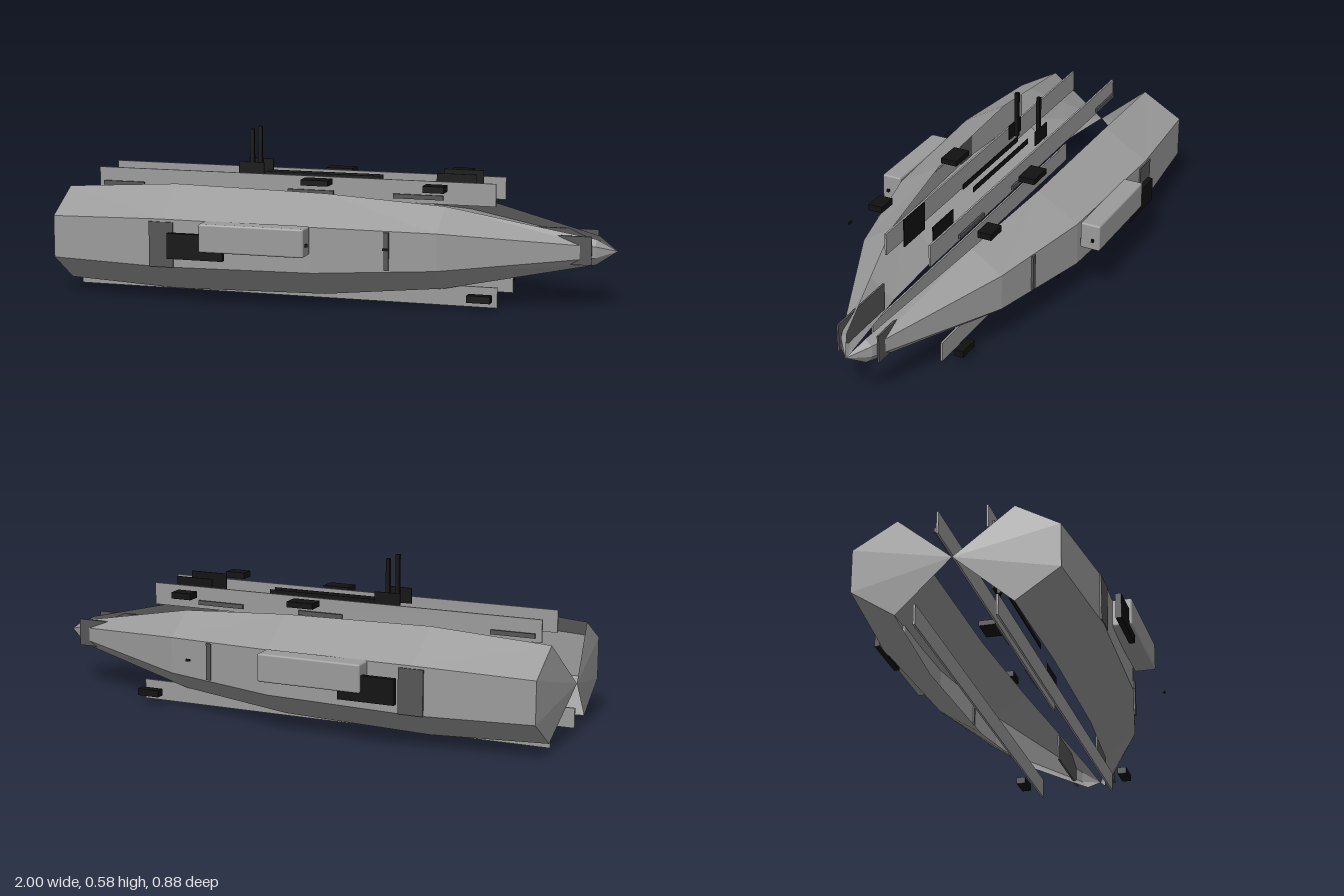
import * as THREE from 'three';
import { RoundedBoxGeometry } from 'three/addons/geometries/RoundedBoxGeometry.js';

export function createModel() {
  const root = new THREE.Group();
  root.name = 'twinHullShip';
  const mat = (name, color, extra = {}) => {
    const m = new THREE.MeshStandardMaterial({ color, ...extra });
    m.name = name;
    return m;
  };
  const hullGrey = mat('hullGrey', 0x9b9b9b, { side: THREE.DoubleSide, flatShading: true });
  const plateGrey = mat('plateGrey', 0x9b9b9b);
  const darkGrey = mat('darkGrey', 0x555555);
  const black = mat('black', 0x111111);

  // Box given by its extents, mirrored to both sides of the ship
  function pair(name, material, [x0, x1], [y0, y1], [z0, z1], radius = 0) {
    const w = x1 - x0, h = y1 - y0, d = z1 - z0;
    for (const s of [1, -1]) {
      const geo = radius ? new RoundedBoxGeometry(w, h, d, 2, radius) : new THREE.BoxGeometry(w, h, d);
      const mesh = new THREE.Mesh(geo, material);
      mesh.name = name + (s > 0 ? 'Front' : 'Back');
      mesh.position.set((x0 + x1) / 2, (y0 + y1) / 2, s * (z0 + z1) / 2);
      root.add(mesh);
    }
  }

  // Hull sides: x, top y, bottom y, outer z, inner z; open along the deck and keel
  const stations = [
    [-1, 0.2, 0.2, 0, 0],
    [-0.97, 0.372, 0.035, 0.345, 0.195],
    [-0.55, 0.4, 0.02, 0.38, 0.212],
    [0, 0.388, 0.03, 0.357, 0.2],
    [0.42, 0.355, 0.065, 0.27, 0.155],
    [0.93, 0.245, 0.155, 0.058, 0.035],
    [1, 0.2, 0.2, 0, 0],
  ];
  const ring = ([x, top, bottom, outer, inner], s) => [
    [x, top, s * inner],
    [x, 0.2 + (top - 0.2) * 0.5, s * outer],
    [x, 0.2 - (0.2 - bottom) * 0.39, s * outer],
    [x, bottom, s * inner],
  ];
  for (const s of [1, -1]) {
    const pos = [];
    for (let i = 0; i < stations.length - 1; i++) {
      const a = ring(stations[i], s), b = ring(stations[i + 1], s);
      for (let j = 0; j < 3; j++) {
        const tris = [[a[j], a[j + 1], b[j + 1]], [a[j], b[j + 1], b[j]]];
        for (const [p, q, r] of tris) pos.push(...p, ...(s > 0 ? q : r), ...(s > 0 ? r : q));
      }
    }
    const geo = new THREE.BufferGeometry();
    geo.setAttribute('position', new THREE.Float32BufferAttribute(pos, 3));
    geo.computeVertexNormals();
    const hull = new THREE.Mesh(geo, hullGrey);
    hull.name = s > 0 ? 'hullFront' : 'hullBack';
    root.add(hull);
  }

  // Long rails above and below
  pair('upperRail', plateGrey, [-0.9, 0.585], [0.35, 0.43], [0.081, 0.088]);
  pair('lowerRail', plateGrey, [-0.955, 0.605], [0.003, 0.075], [0.132, 0.139]);
  for (const [a, b] of [[-0.88, -0.72], [-0.17, 0], [0.22, 0.4]])
    pair('railStrip', darkGrey, [a, b], [0.366, 0.382], [0.095, 0.102]);

  // Bow plates
  pair('bowPlate', darkGrey, [0.62, 0.92], [0.16, 0.26], [0.072, 0.079]);

  // Side pods with grilles and end lights
  pair('sidePod', plateGrey, [-0.385, -0.005], [0.2, 0.3], [0.365, 0.44], 0.007);
  pair('podGrille', black, [-0.505, -0.3], [0.17, 0.26], [0.41, 0.43]);
  pair('podLight', black, [-0.006, 0.003], [0.235, 0.245], [0.41, 0.419]);
  pair('sideSensor', black, [0.268, 0.285], [0.237, 0.245], [0.41, 0.416]);

  // Painted panels on the hull sides
  pair('sidePanel', darkGrey, [-0.59, -0.5], [0.13, 0.29], [0.375, 0.383]);
  pair('sideStripe', darkGrey, [0.242, 0.26], [0.148, 0.28], [0.302, 0.311]);

  // Central deck panels, strips and masts
  pair('aftPanel', black, [-0.37, -0.275], [0.41, 0.466], [0.051, 0.056]);
  pair('forwardPanel', black, [0.366, 0.51], [0.35, 0.455], [0.054, 0.058]);
  pair('deckStrip', black, [-0.28, 0.15], [0.41, 0.43], [0.019, 0.022]);
  pair('mast', black, [-0.328, -0.314], [0.41, 0.585], [0.037, 0.051]);

  // Small equipment boxes
  pair('midBox', black, [-0.095, 0.005], [0.41, 0.43], [0.125, 0.187]);
  pair('forwardBox', black, [0.36, 0.435], [0.412, 0.435], [0.185, 0.237]);
  pair('keelBox', black, [0.512, 0.595], [0.032, 0.057], [0.18, 0.213]);

  return root;
}
